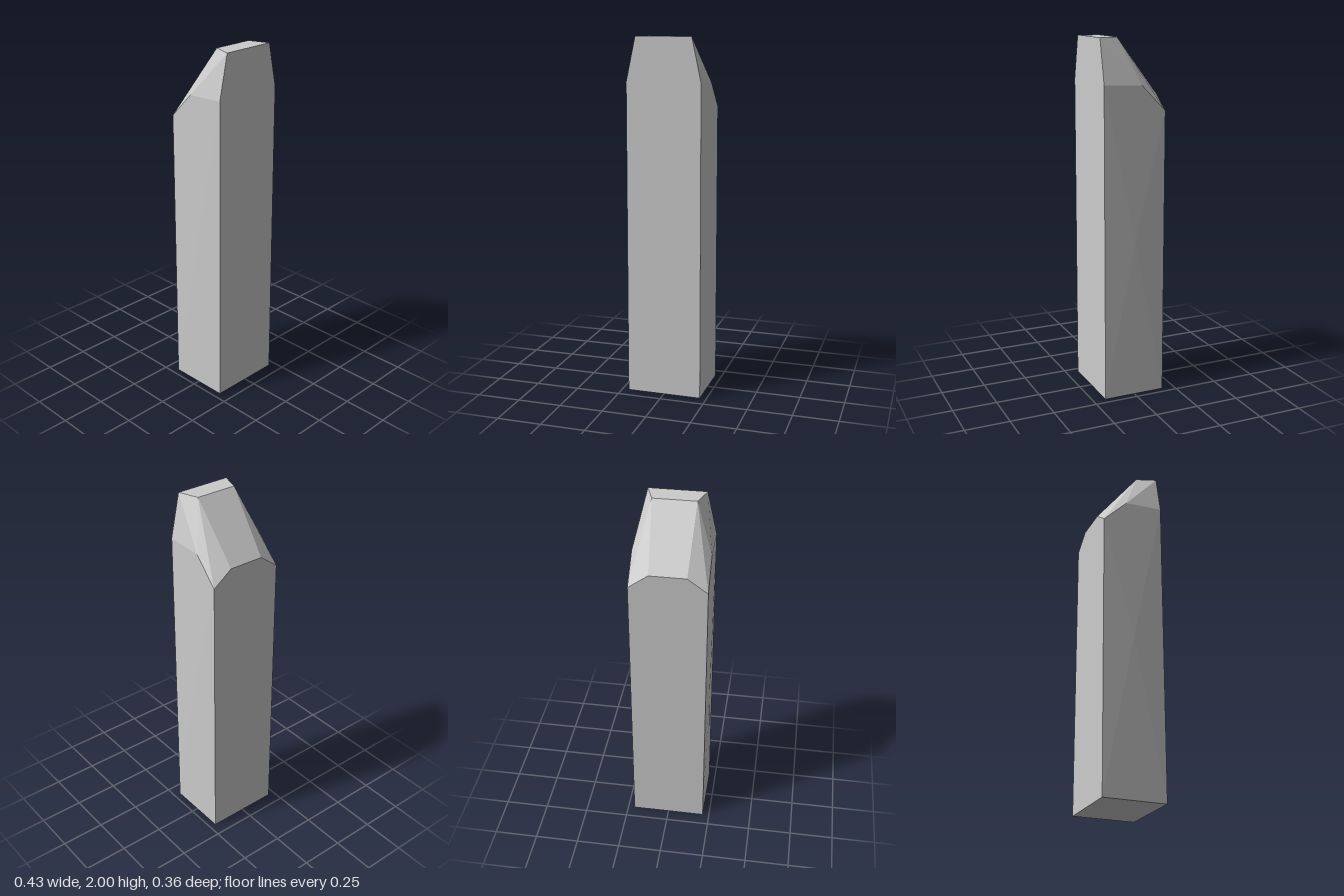
import * as THREE from 'three';

// Corners of the left (+x) half; the right half mirrors them.
const P = {
  baseFront: [0.212, 0, 0.178],
  baseBack: [0.212, 0, -0.178],
  shoulderFront: [0.208, 1.76, 0.178],
  shoulderMid: [0.208, 1.75, -0.04],
  shoulderBack: [0.209, 1.61, -0.178],
  tipFront: [0.156, 2, 0.178],
  tipBack: [0.117, 2, 0.065],
  backTop: [0.1, 1.69, -0.178],
  bulge: [0.215, 0.9, 0],
};

const corner = (name, side) => [P[name][0] * side, P[name][1], P[name][2]];

// Flat-shaded mesh from convex polygons, each fanned into triangles
function facets(name, polygons) {
  const pos = [];
  for (const p of polygons) {
    for (let i = 1; i < p.length - 1; i++) pos.push(...p[0], ...p[i], ...p[i + 1]);
  }
  const geometry = new THREE.BufferGeometry();
  geometry.setAttribute('position', new THREE.Float32BufferAttribute(pos, 3));
  geometry.computeVertexNormals();
  const material = new THREE.MeshStandardMaterial({ color: 0xcccccc, flatShading: true });
  const mesh = new THREE.Mesh(geometry, material);
  mesh.name = name;
  return mesh;
}

// Polygon on one side, with its winding reversed for the mirrored side
const sided = (names, side) => {
  const points = names.map((n) => corner(n, side));
  return side > 0 ? points : points.reverse();
};

// Polygon spanning both sides: up the left edge, then down the right one
const spanning = (names) => [
  ...names.map((n) => corner(n, 1)),
  ...[...names].reverse().map((n) => corner(n, -1)),
];

export function createModel() {
  const group = new THREE.Group();
  group.name = 'standingStone';

  // Faces crossing the middle
  group.add(
    facets('frontFace', [spanning(['baseFront', 'shoulderFront', 'tipFront'])]),
    facets('backFace', [spanning(['backTop', 'shoulderBack', 'baseBack'])]),
    facets('topFace', [spanning(['tipFront', 'tipBack'])]),
    facets('backSlope', [spanning(['tipBack', 'backTop'])]),
    facets('bottomFace', [spanning(['baseBack', 'baseFront'])]),
  );

  // Slightly swollen side walls and chipped shoulders
  const rim = ['baseFront', 'baseBack', 'shoulderBack', 'shoulderMid', 'shoulderFront'];
  for (const [label, side] of [['left', 1], ['right', -1]]) {
    const wall = rim.map((n, i) => sided(['bulge', n, rim[(i + 1) % rim.length]], side));
    const bevel = [
      ['shoulderFront', 'shoulderMid', 'tipFront'],
      ['shoulderMid', 'tipBack', 'tipFront'],
      ['shoulderMid', 'shoulderBack', 'tipBack'],
      ['shoulderBack', 'backTop', 'tipBack'],
    ].map((names) => sided(names, side));
    group.add(facets(label + 'Wall', wall), facets(label + 'Shoulder', bevel));
  }
  return group;
}
